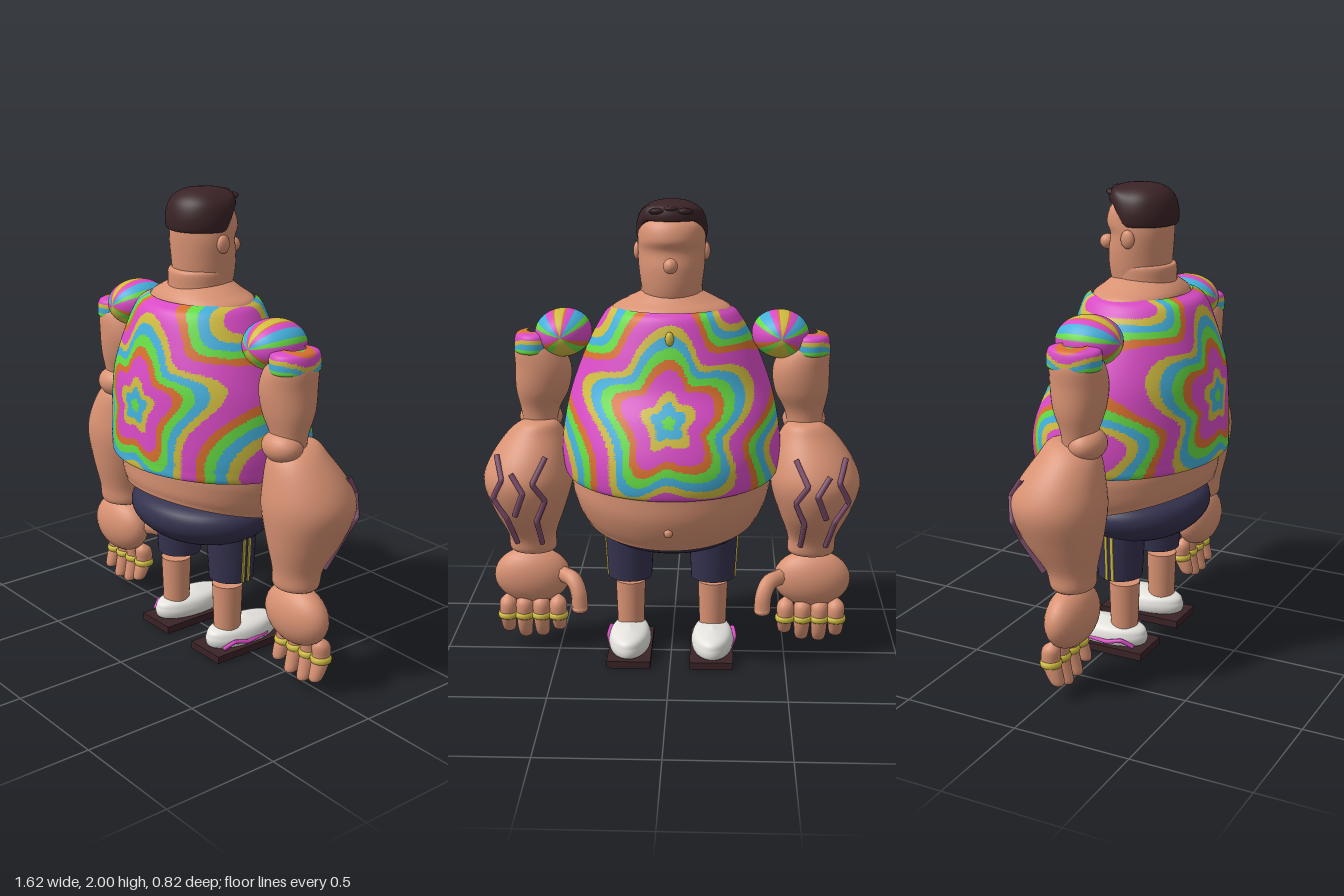
import * as THREE from 'three';

const mat = (name, color) => {
  const m = new THREE.MeshStandardMaterial({ color });
  m.name = name;
  return m;
};

export function createModel() {
  const model = new THREE.Group();
  model.name = 'figure';
  const skin = mat('skin', 0xd99273), dark = mat('dark brown', 0x3a2326), navy = mat('navy', 0x35324f),
    white = mat('white', 0xe4e3de), vein = mat('vein purple', 0x80506f);
  const magenta = mat('magenta', 0xd94bc6), orange = mat('orange', 0xd8702e), green = mat('green', 0x66dd44),
    blue = mat('blue', 0x44b0dc), yellow = mat('yellow', 0xd0bc40);
  const dye = [magenta, orange, green, blue, yellow];

  const add = (name, geo, material, x = 0, y = 0, z = 0, parent = model) => {
    const m = new THREE.Mesh(geo, material);
    m.name = name;
    m.position.set(x, y, z);
    parent.add(m);
    return m;
  };
  const ball = (rx, ry, rz, seg = 32) => new THREE.SphereGeometry(1, seg, seg / 2).scale(rx, ry, rz);
  const tube = (pts, r, tension = 0.5, seg = 40) => new THREE.TubeGeometry(
    new THREE.CatmullRomCurve3(pts.map(p => new THREE.Vector3(...p)), false, 'catmullrom', tension), seg, r, 8);

  // Smooth skin over elliptical rings [y, halfWidth, zMin, zMax, centreX, tilt], bottom to top
  function loft(rings, seg = 40, rows = 28) {
    const A = new THREE.CatmullRomCurve3(rings.map(r => new THREE.Vector3(r[0], r[1], r[2])), false, 'catmullrom');
    const B = new THREE.CatmullRomCurve3(rings.map(r => new THREE.Vector3(r[3], r[4] || 0, r[5] || 0)), false, 'catmullrom');
    const pos = [], idx = [];
    for (let i = 0; i <= rows; i++) {
      const a = A.getPoint(i / rows), b = B.getPoint(i / rows);
      for (let j = 0; j < seg; j++) {
        const t = j / seg * Math.PI * 2;
        const z = (a.z + b.x) / 2 + (b.x - a.z) / 2 * Math.sin(t);
        pos.push(b.y + Math.max(a.y, 0) * Math.cos(t), a.x + b.z * z, z);
        if (i < rows) {
          const p = i * seg + j, q = i * seg + (j + 1) % seg;
          idx.push(p, p + seg, q, q, p + seg, q + seg);
        }
      }
    }
    const g = new THREE.BufferGeometry();
    g.setAttribute('position', new THREE.Float32BufferAttribute(pos, 3));
    g.setIndex(idx);
    g.computeVertexNormals();
    return g;
  }

  // Sort faces into one material group per dye colour
  function paint(g, pick) {
    const p = g.attributes.position, src = g.index.array, lists = dye.map(() => []);
    for (let i = 0; i < src.length; i += 3) {
      const f = [src[i], src[i + 1], src[i + 2]];
      const mean = k => f.reduce((s, v) => s + p.getComponent(v, k), 0) / 3;
      lists[pick(mean(0), mean(1), mean(2))].push(...f);
    }
    g.setIndex(lists.flat());
    let start = 0;
    lists.forEach((l, k) => { g.addGroup(start, l.length, k); start += l.length; });
    return g;
  }
  const band = u => {
    u -= Math.floor(u);
    return u < 0.32 ? 0 : u < 0.48 ? 1 : u < 0.66 ? 2 : u < 0.84 ? 3 : 4;
  };
  // Wavy five-pointed rings spreading from the middle of the shirt
  const star = (x, y) => {
    const dx = x, dy = y - 1.14, r = Math.hypot(dx, dy), a = Math.atan2(dy, dx) - Math.PI / 2;
    const lobe = 1 + 0.17 * Math.cos(5 * a + 0.25) + 0.03 * Math.sin(9 * a);
    return band((r / lobe - 0.10) / 0.22);
  };

  // Torso
  add('shirt', paint(loft([
    [0.86, 0.39, -0.36, 0.35, 0, 0.05], [0.85, 0.445, -0.4, 0.405, 0, 0.05], [0.91, 0.462, -0.412, 0.41, 0, 0.02],
    [1.0, 0.464, -0.395, 0.408], [1.13, 0.445, -0.34, 0.402], [1.25, 0.412, -0.268, 0.39], [1.4, 0.352, -0.222, 0.352],
    [1.52, 0.285, -0.185, 0.31], [1.555, 0.24, -0.15, 0.25]], 200, 130), star), dye);
  add('belly', loft([
    [0.66, 0, 0.03, 0.03, 0, 0.24], [0.655, 0.33, -0.27, 0.32, 0, 0.24], [0.68, 0.385, -0.32, 0.362, 0, 0.24],
    [0.78, 0.42, -0.375, 0.37, 0, 0.16], [0.86, 0.425, -0.385, 0.37, 0, 0.05]], 56, 24), skin);
  add('navel', ball(0.018, 0.018, 0.012, 16), skin, 0, 0.68, -0.365);
  add('collar', loft([[1.5, 0.25, -0.15, 0.25], [1.55, 0.25, -0.14, 0.24], [1.585, 0.19, -0.1, 0.215],
    [1.62, 0.12, -0.06, 0.17]]), skin);
  add('shirtButton', ball(0.018, 0.03, 0.016, 16), yellow, 0, 1.46, -0.208);

  // Head
  add('neck', loft([[1.52, 0.135, -0.07, 0.2], [1.6, 0.13, -0.065, 0.197], [1.665, 0.128, -0.06, 0.193],
    [1.672, 0.1, -0.03, 0.16]]), skin);
  add('head', loft([[1.575, 0.06, -0.03, 0.1], [1.585, 0.11, -0.068, 0.15], [1.64, 0.127, -0.085, 0.17],
    [1.72, 0.138, -0.088, 0.178], [1.79, 0.142, -0.078, 0.182], [1.84, 0.141, -0.096, 0.182],
    [1.9, 0.134, -0.078, 0.178], [1.94, 0.09, -0.03, 0.13]], 40, 40), skin);
  add('nose', ball(0.03, 0.032, 0.032, 24), skin, 0, 1.742, -0.112);
  const hair = loft([[0, 0.12, -0.07, 0.17], [0, 0.143, -0.08, 0.197], [0.35, 0.147, -0.08, 0.2],
    [0.7, 0.128, -0.065, 0.18], [0.92, 0.075, -0.015, 0.13], [1, 0, 0.06, 0.06]], 64, 30);
  const hp = hair.attributes.position;
  for (let i = 0; i < hp.count; i++) {
    const k = THREE.MathUtils.smoothstep(-hp.getZ(i), -0.05, 0.04);
    const low = 1.835 + 0.085 * k;
    hp.setY(i, low + (2 - low) * hp.getY(i));
  }
  hair.computeVertexNormals();
  add('hair', hair, dark);
  for (const x of [-0.055, 0, 0.055])
    add('hairTuft', ball(0.036, 0.015, 0.035, 16), dark, x, 1.955 + (x ? 0 : 0.01), -0.05).rotation.x = 0.25;

  // Shorts seat
  add('shortsSeat', loft([[0.485, 0, 0.05, 0.05], [0.488, 0.12, -0.06, 0.16], [0.525, 0.25, -0.17, 0.26],
    [0.585, 0.33, -0.22, 0.325], [0.645, 0.345, -0.23, 0.335], [0.69, 0.3, -0.19, 0.3], [0.72, 0.17, -0.09, 0.18],
    [0.722, 0, 0.05, 0.05]], 48, 32), navy);

  for (const s of [-1, 1]) {
    const side = new THREE.Group();
    side.name = s > 0 ? 'leftLimbs' : 'rightLimbs';
    model.add(side);
    const put = (name, geo, m, x = 0, y = 0, z = 0) => add(name, geo, m, s * x, y, z, side);
    const arm = (rows) => rows.map(([y, hw, z0, z1, cx]) => [y, hw, z0, z1, s * cx]);

    put('ear', ball(0.018, 0.038, 0.03, 20), skin, 0.143, 1.783, 0.055);

    // Leg and shoe
    put('shortsLeg', new THREE.CylinderGeometry(0.108, 0.096, 0.22, 32), navy, 0.183, 0.455, 0.04);
    for (const dz of [-0.014, 0.014]) {
      const stripe = put('shortsStripe', new THREE.BoxGeometry(0.008, 0.2, 0.012), yellow, 0.285, 0.448, 0.04 + dz);
      stripe.rotation.z = -s * 0.054;
    }
    put('shin', new THREE.CylinderGeometry(0.066, 0.058, 0.23, 28), skin, 0.183, 0.2, 0.06);
    put('sole', new THREE.BoxGeometry(0.19, 0.032, 0.385), dark, 0.18, 0.016, -0.01);
    put('shoe', loft(arm([[0.03, 0.07, -0.17, 0.14, 0.183], [0.045, 0.09, -0.198, 0.162, 0.183],
      [0.08, 0.092, -0.2, 0.165, 0.183], [0.115, 0.07, -0.175, 0.13, 0.183], [0.135, 0, -0.05, -0.05, 0.183]])), white);
    put('shoeStripe', tube([[s * 0.25, 0.045, 0.135], [s * 0.274, 0.075, 0.09], [s * 0.282, 0.06, 0.02],
      [s * 0.262, 0.06, -0.1]], 0.009, 0.2), magenta);

    // Sleeve: ball with wedges running front to back, and a banded cuff
    const wedge = (x, y) => {
      const d = Math.abs(Math.atan2(x, y)) * 180 / Math.PI;
      return d < 9 ? 4 : d < 14 ? 1 : d < 30 ? 0 : d < 54 ? 3 : d < 68 ? 2 : d < 115 ? 0 : d < 130 ? 1 : d < 150 ? 2 : 4;
    };
    const cap = new THREE.SphereGeometry(1, 90, 60).rotateX(Math.PI / 2);
    paint(cap, wedge).scale(0.122, 0.102, 0.138);
    put('sleeveBall', cap, dye, 0.46, 1.435, 0.05).rotation.z = -s * 0.12;
    const cuff = loft(arm([[1.355, 0.08, -0.055, 0.16, 0.585], [1.37, 0.086, -0.062, 0.167, 0.585],
      [1.43, 0.08, -0.055, 0.16, 0.582], [1.445, 0.04, 0, 0.1, 0.575]]), 72, 24);
    put('sleeveCuff', paint(cuff, (x, y, z) => band((y - 1.36) / 0.1 * 0.9 + 0.62 + 0.12 * Math.sin(z * 30))), dye);

    // Arm
    put('upperArm', loft(arm([[1.0, 0.065, 0, 0.12, 0.57], [1.1, 0.084, -0.01, 0.138, 0.568],
      [1.19, 0.115, -0.045, 0.16, 0.555], [1.29, 0.12, -0.06, 0.17, 0.55], [1.38, 0.1, -0.05, 0.16, 0.57],
      [1.43, 0.06, 0, 0.11, 0.57]])), skin);
    put('elbow', ball(0.094, 0.066, 0.074), skin, 0.57, 1.052, 0.1);
    put('forearm', loft(arm([[0.455, 0.05, 0.01, 0.1, 0.612], [0.465, 0.1, -0.035, 0.14, 0.612],
      [0.54, 0.107, -0.06, 0.15, 0.615], [0.66, 0.152, -0.15, 0.175, 0.619], [0.79, 0.192, -0.195, 0.19, 0.62],
      [0.89, 0.176, -0.17, 0.18, 0.61], [1.0, 0.125, -0.1, 0.15, 0.585], [1.055, 0.07, -0.06, 0.09, 0.57],
      [1.06, 0, 0.02, 0.02, 0.57]]), 40, 40), skin);
    for (const path of [
      [[0.74, 0.93, -0.1], [0.71, 0.84, -0.17], [0.755, 0.75, -0.14], [0.7, 0.66, -0.135], [0.67, 0.52, -0.05]],
      [[0.53, 0.93, -0.13], [0.58, 0.83, -0.195], [0.53, 0.75, -0.165], [0.57, 0.65, -0.145], [0.56, 0.52, -0.05]],
      [[0.67, 0.87, -0.178], [0.62, 0.79, -0.2], [0.66, 0.68, -0.16]]])
      put('vein', tube(path.map(([x, y, z]) => [s * x, y, z]), 0.012, 0), vein);

    // Hand
    put('palm', ball(0.17, 0.13, 0.09), skin, 0.62, 0.335, 0.05);
    put('thumb', tube([[s * 0.48, 0.35, 0.02], [s * 0.43, 0.34, -0.03], [s * 0.405, 0.29, -0.06],
      [s * 0.4, 0.225, -0.068]], 0.036, 0.5, 16), skin);
    put('thumbTip', ball(0.036, 0.022, 0.036, 20), skin, 0.4, 0.223, -0.068);
    [[0.505, 0.075], [0.58, 0.045], [0.655, 0.04], [0.728, 0.065]].forEach(([x, low], i) => {
      const tip = x + (x - 0.618) * 0.02;
      put('finger', loft(arm([[low, 0, 0.045, 0.045, tip], [low + 0.012, 0.026, 0.015, 0.068, tip],
        [low + 0.06, 0.034, -0.015, 0.06, tip], [0.17, 0.037, -0.03, 0.048, x], [0.225, 0.036, -0.025, 0.05, x],
        [0.26, 0, 0.02, 0.02, x]]), 20, 20), skin);
      put('ring', new THREE.TorusGeometry(0.037, 0.009, 8, 24).rotateX(Math.PI / 2).scale(1, 1.7, 1), yellow, x, 0.16, 0.01);
    });
  }
  return model;
}
